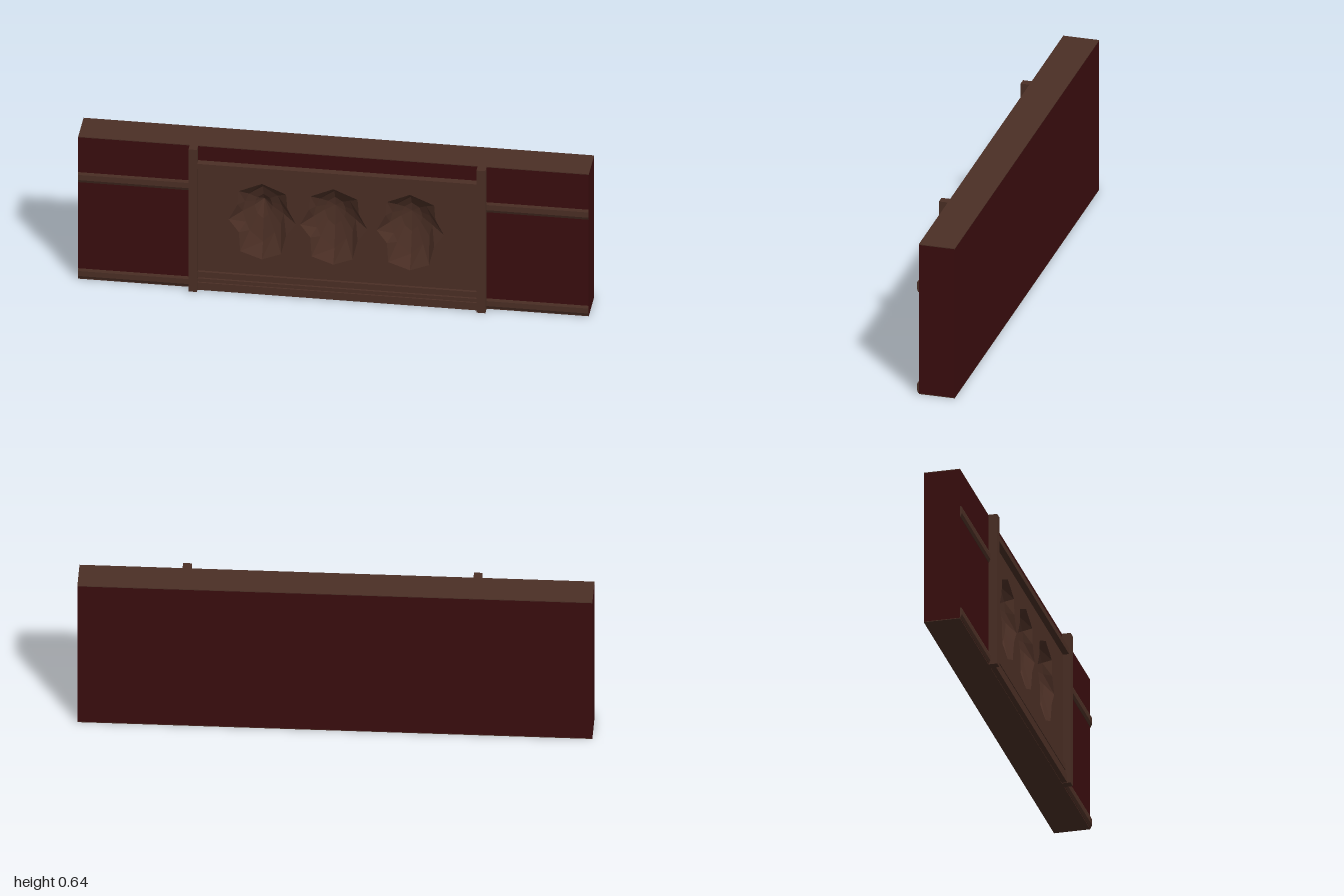
import * as THREE from 'three';

const H = 0.64, FRONT = 0.055, LEFT = -0.53, RIGHT = 0.565;
const MID = (LEFT + RIGHT) / 2, SPAN = RIGHT - LEFT;

// Outline of one carved niche, clockwise from the top, relative to its centre line
const NICHE = [
  [0, 0.49], [0.095, 0.45], [0.1, 0.385], [0.133, 0.32], [0.095, 0.265], [0.075, 0.18],
  [0, 0.15], [-0.085, 0.18], [-0.09, 0.265], [-0.13, 0.32], [-0.095, 0.39], [-0.09, 0.45],
];
const NICHE_X = [-0.28, 0, 0.3];

// Rectangle with the three niche openings
function pierced(x0, x1, y0, y1, depth) {
  const s = new THREE.Shape([[x0, y0], [x1, y0], [x1, y1], [x0, y1]].map(p => new THREE.Vector2(...p)));
  for (const cx of NICHE_X) {
    s.holes.push(new THREE.Path(NICHE.map(([x, y]) => new THREE.Vector2(cx + x, y))));
  }
  return new THREE.ExtrudeGeometry(s, { depth, bevelEnabled: false });
}

// Faceted hollow: rings shrink towards a deep point in the upper half
function hollow(cx, face, rings, floorY) {
  const n = NICHE.length, pos = [], idx = [];
  rings.forEach(([scale, z], r) => NICHE.forEach(([x, y], i) => {
    const k = r > 0 && r < rings.length - 1 ? scale * (i % 2 ? 0.9 : 1.08) : scale;
    pos.push(cx + x * k, floorY + (y - floorY) * k, face + z);
  }));
  for (let r = 0; r < rings.length - 1; r++) {
    for (let i = 0; i < n; i++) {
      const j = (i + 1) % n, a = r * n + i, b = r * n + j, c = a + n, d = b + n;
      idx.push(a, c, b, b, c, d);
    }
  }
  const g = new THREE.BufferGeometry();
  g.setAttribute('position', new THREE.Float32BufferAttribute(pos, 3));
  g.setIndex(idx);
  const flat = g.toNonIndexed();
  flat.computeVertexNormals();
  return flat;
}

// Horizontal moulding with chamfered edges, running along x
function moulding(x0, x1, y0, y1, z0, z1) {
  const c = 0.008;
  const s = new THREE.Shape([
    [-z0, y0], [-z0, y1], [-z1 + 0.003, y1], [-z1, y1 - c], [-z1, y0 + 1.6 * c], [-z1 + 0.006, y0],
  ].map(p => new THREE.Vector2(...p)));
  const g = new THREE.ExtrudeGeometry(s, { depth: x1 - x0, bevelEnabled: false });
  g.rotateY(Math.PI / 2);
  // after the turn the profile's x runs along -z
  g.translate(x0, 0, 0);
  return g;
}

export function createModel() {
  const group = new THREE.Group();
  const red = new THREE.MeshStandardMaterial({ color: 0x3a0d0e });
  red.name = 'darkRed';
  const brown = new THREE.MeshStandardMaterial({ color: 0x4b2f25 });
  brown.name = 'darkBrown';

  const add = (name, geo, mat, x = 0, y = 0, z = 0) => {
    const m = new THREE.Mesh(geo, mat);
    m.name = name;
    m.position.set(x, y, z);
    group.add(m);
  };
  const box = (name, mat, x0, x1, y0, y1, z0, z1) => add(name,
    new THREE.BoxGeometry(x1 - x0, y1 - y0, z1 - z0), mat, (x0 + x1) / 2, (y0 + y1) / 2, (z0 + z1) / 2);

  // Wall slab with brown top and bottom
  box('wallBack', red, -1, 1, 0.003, H - 0.003, -0.09, -0.025);
  add('wallFront', pierced(-1, 1, 0.003, H - 0.003, FRONT + 0.025), red, 0, 0, -0.025);
  box('wallTop', brown, -1, 1, H - 0.003, H, -0.09, FRONT);
  box('wallBottom', brown, -1, 1, 0, 0.003, -0.09, FRONT);

  // Central panel with three niches
  add('panel', pierced(LEFT, RIGHT, 0.04, 0.572, 0.004), brown, 0, 0, FRONT);
  NICHE_X.forEach((cx, i) => {
    const rings = i === 0
      ? [[1, 0], [0.68, -0.03], [0.3, -0.045], [0, -0.072]]
      : [[1, 0], [0.7, -0.03], [0.35, -0.052], [0, -0.06]];
    add('niche', hollow(cx, FRONT + 0.004, rings, 0.385), brown);
  });

  // Rails between the posts
  const rail = (name, y0, y1, z1) => add(name, new THREE.BoxGeometry(SPAN, y1 - y0, z1 - FRONT), brown,
    MID, (y0 + y1) / 2, (FRONT + z1) / 2);
  rail('topRail', 0.55, 0.574, 0.084);
  rail('bottomRail', 0.055, 0.08, 0.07);
  rail('baseRail', 0.002, 0.035, 0.076);
  rail('baseStep', 0.035, 0.05, 0.07);

  // Posts
  box('rightPost', brown, LEFT - 0.033, LEFT, 0, H, FRONT - 0.01, 0.09);
  box('leftPost', brown, RIGHT, RIGHT + 0.035, 0, H, FRONT - 0.01, 0.09);

  // Mouldings on the side bays
  for (const [x0, x1] of [[-1, LEFT - 0.03], [RIGHT + 0.03, 1]]) {
    add('upperMoulding', moulding(x0, x1, 0.436, 0.48, FRONT, 0.063), brown);
    add('lowerMoulding', moulding(x0, x1, 0.004, 0.047, FRONT, 0.063), brown);
  }
  return group;
}
